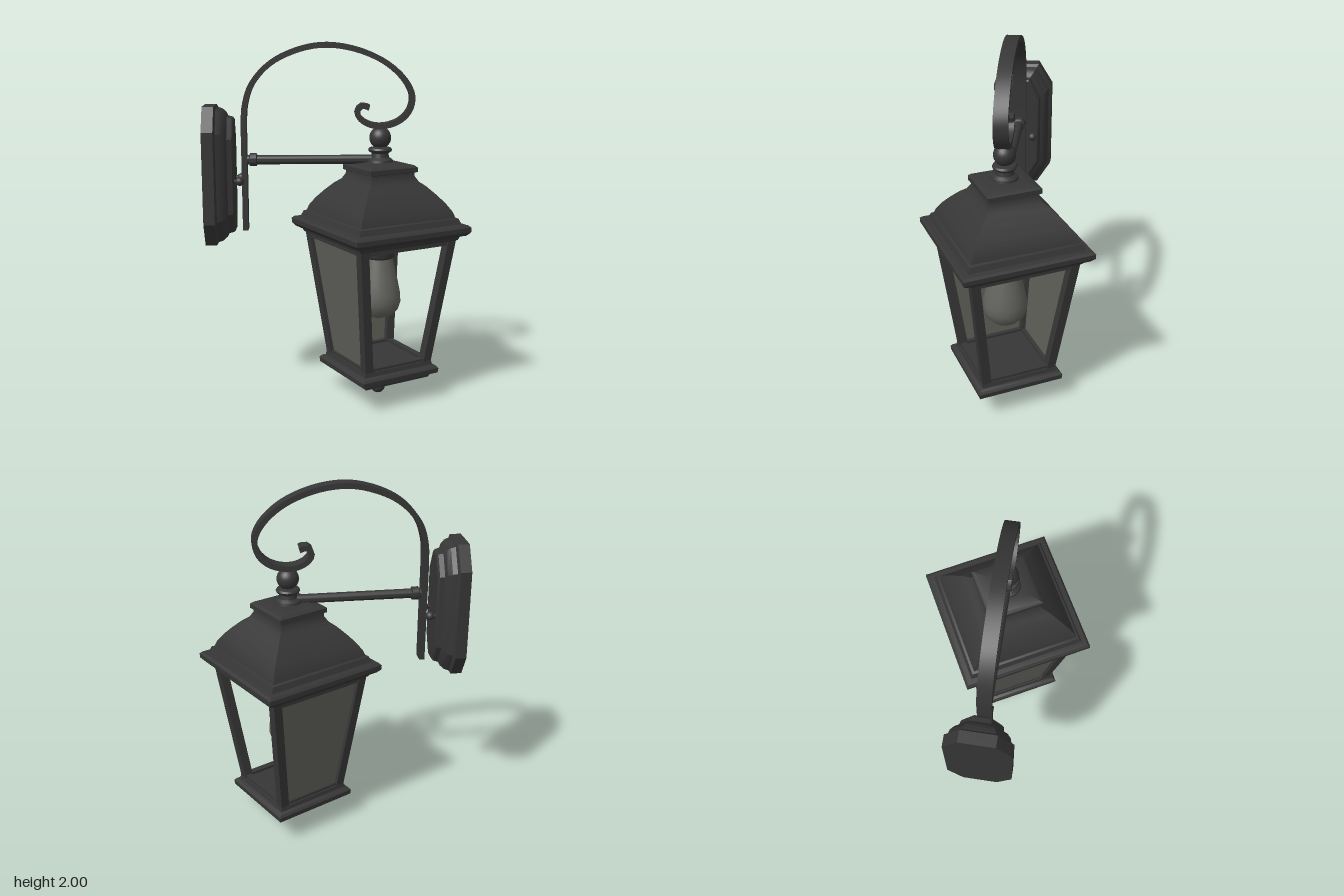
import * as THREE from 'three';
import { toCreasedNormals } from 'three/addons/utils/BufferGeometryUtils.js';

const metal = new THREE.MeshStandardMaterial({ color: 0x363636 });
metal.name = 'dark metal';
const glass = new THREE.MeshStandardMaterial({ color: 0x5e5e58, side: THREE.DoubleSide });
glass.name = 'smoky glass';
const bulbGlass = new THREE.MeshStandardMaterial({ color: 0x63635f });
bulbGlass.name = 'bulb glass';

const V = (x, y, z) => new THREE.Vector3(x, y, z);

function add(parent, name, geometry, material = metal) {
  const mesh = new THREE.Mesh(geometry, material);
  mesh.name = name;
  parent.add(mesh);
  return mesh;
}

// Square stack: profile of [half width, y], bottom to top
function squareStack(profile) {
  const pts = profile.map(([h, y]) => new THREE.Vector2(h * Math.SQRT2, y));
  return toCreasedNormals(new THREE.LatheGeometry(pts, 4, Math.PI / 4), 0.6);
}

// Round turning: profile of [radius, y], bottom to top
function turned(profile) {
  const pts = profile.map(([r, y]) => new THREE.Vector2(r, y));
  return toCreasedNormals(new THREE.LatheGeometry(pts, 28), 0.7);
}

// Square bar between two points
function bar(parent, name, a, b, w) {
  const dir = b.clone().sub(a);
  const mesh = add(parent, name, new THREE.BoxGeometry(w, dir.length(), w));
  mesh.position.copy(a).add(b).multiplyScalar(0.5);
  mesh.quaternion.setFromUnitVectors(V(0, 1, 0), dir.normalize());
}

// Chamfered octagonal wall plate: steps of [x, inset]
function wallPlateGeometry(steps) {
  const pos = [], idx = [];
  for (const [x, i] of steps) {
    const w = 0.172 - i, h = 0.38 - i, cz = 0.08 - i * 0.3, cy = 0.13 - i * 0.3;
    const loop = [[w, h - cy], [w - cz, h], [cz - w, h], [-w, h - cy],
      [-w, cy - h], [cz - w, -h], [w - cz, -h], [w, cy - h]];
    for (const [z, y] of loop) pos.push(x, y, z);
  }
  const last = (steps.length - 1) * 8;
  for (let s = 0; s < last; s += 8) {
    for (let k = 0; k < 8; k++) {
      const n = (k + 1) % 8;
      idx.push(s + k, s + 8 + n, s + n, s + k, s + 8 + k, s + 8 + n);
    }
  }
  for (let k = 1; k < 7; k++) {
    idx.push(0, k, k + 1, last, last + k + 1, last + k);
  }
  // orient every face outward
  for (let t = 0; t < idx.length; t += 3) {
    const [a, b, c] = [0, 1, 2].map((k) => V().fromArray(pos, idx[t + k] * 3));
    const n = b.clone().sub(a).cross(c.clone().sub(a));
    const mid = a.clone().add(b).add(c).divideScalar(3).sub(V(-0.65, 0, 0));
    if (n.dot(mid) < 0) [idx[t + 1], idx[t + 2]] = [idx[t + 2], idx[t + 1]];
  }
  const g = new THREE.BufferGeometry();
  g.setAttribute('position', new THREE.Float32BufferAttribute(pos, 3));
  g.setIndex(idx);
  return toCreasedNormals(g, 0.4);
}

// Flat scrolled strap: a path thickened in its plane, then extruded
function scrollGeometry() {
  const path = new THREE.CatmullRomCurve3([
    [-0.51, 0.975], [-0.51, 1.3], [-0.51, 1.55], [-0.503, 1.66], [-0.465, 1.775], [-0.36, 1.89],
    [-0.2, 1.964], [-0.055, 1.985], [0.115, 1.957], [0.27, 1.885], [0.37, 1.79], [0.405, 1.71],
    [0.39, 1.635], [0.335, 1.578], [0.245, 1.55], [0.165, 1.562], [0.115, 1.6], [0.108, 1.635],
    [0.135, 1.66], [0.172, 1.65],
  ].map(([x, y]) => V(x, y, 0)));
  const outer = [], inner = [], n = 110;
  for (let i = 0; i <= n; i++) {
    const p = path.getPointAt(i / n), t = path.getTangentAt(i / n);
    outer.push(new THREE.Vector2(p.x - t.y * 0.015, p.y + t.x * 0.015));
    inner.unshift(new THREE.Vector2(p.x + t.y * 0.015, p.y - t.x * 0.015));
  }
  const g = new THREE.ExtrudeGeometry(new THREE.Shape([...outer, ...inner]), { depth: 0.075, bevelEnabled: false });
  g.translate(0, 0, -0.04);
  return toCreasedNormals(g, 0.6);
}

export function createModel() {
  const model = new THREE.Group();
  model.name = 'wallLantern';

  // Wall mount
  const plate = add(model, 'wallPlate', wallPlateGeometry([
    [-0.727, 0], [-0.665, 0], [-0.655, 0.016], [-0.63, 0.024], [-0.608, 0.042],
    [-0.598, 0.06], [-0.572, 0.066], [-0.563, 0.076],
  ]));
  plate.position.set(0, 1.283, -0.005);
  for (const z of [-0.077, 0.065]) {
    const stem = add(model, 'mountScrew', new THREE.CylinderGeometry(0.012, 0.012, 0.06, 12));
    stem.rotation.z = Math.PI / 2;
    stem.position.set(-0.56, 1.255, z);
    add(model, 'mountScrewKnob', new THREE.SphereGeometry(0.024, 16, 12)).position.set(-0.535, 1.255, z);
  }

  // Bracket
  add(model, 'scrollArm', scrollGeometry());
  const rod = add(model, 'crossRod', turned([
    [0, -0.5], [0.026, -0.5], [0.026, -0.485], [0.036, -0.48], [0.036, -0.445], [0.026, -0.44],
    [0.025, 0.235], [0, 0.235],
  ]));
  rod.rotation.z = -Math.PI / 2;
  rod.position.set(0, 1.365, -0.004);

  // Lantern, turned on its axis
  const lantern = new THREE.Group();
  lantern.name = 'lantern';
  lantern.position.set(0.234, 0, -0.002);
  lantern.rotation.y = 0.497;
  model.add(lantern);

  add(lantern, 'roof', squareStack([
    [0, 0.93], [0.3, 0.93], [0.312, 0.935], [0.32, 0.955], [0.345, 0.962], [0.363, 0.982],
    [0.364, 1.008], [0.352, 1.02], [0.325, 1.024], [0.313, 1.055], [0.3, 1.06],
    [0.29, 1.09], [0.262, 1.135], [0.226, 1.18], [0.185, 1.225], [0.155, 1.25], [0.138, 1.28],
    [0.137, 1.298], [0.15, 1.303], [0.15, 1.328], [0.135, 1.34], [0.08, 1.352], [0, 1.352],
  ]));
  add(lantern, 'base', squareStack([
    [0, 0.085], [0.105, 0.085], [0.125, 0.1], [0.165, 0.112], [0.208, 0.125], [0.214, 0.148],
    [0.246, 0.155], [0.249, 0.182], [0.238, 0.196], [0.222, 0.202], [0.218, 0.225], [0, 0.225],
  ]));

  // Posts and rails of the cage
  const corner = (k, h, y) => {
    const a = Math.PI / 4 + k * Math.PI / 2;
    return V(h * Math.SQRT2 * Math.sin(a), y, h * Math.SQRT2 * Math.cos(a));
  };
  for (let k = 0; k < 4; k++) {
    bar(lantern, 'cornerPost', corner(k, 0.19, 0.21), corner(k, 0.281, 0.945), 0.05);
    bar(lantern, 'bottomRail', corner(k, 0.192, 0.222), corner(k + 1, 0.192, 0.222), 0.036);
    bar(lantern, 'topRail', corner(k, 0.279, 0.926), corner(k + 1, 0.279, 0.926), 0.036);
  }

  // Two glazed sides; the other two stay open
  const panes = new THREE.CylinderGeometry(0.284 * Math.SQRT2, 0.194 * Math.SQRT2, 0.72, 2, 1, true, Math.PI * 0.75, Math.PI);
  add(lantern, 'glassPanes', toCreasedNormals(panes, 0.5), glass).position.y = 0.575;

  // Socket and bulb
  add(lantern, 'bulbSocket', turned([
    [0, 0.81], [0.08, 0.81], [0.088, 0.82], [0.088, 0.885], [0.072, 0.892], [0.072, 0.94], [0, 0.94],
  ]));
  add(lantern, 'bulb', turned([
    [0, 0.46], [0.04, 0.463], [0.08, 0.478], [0.11, 0.51], [0.124, 0.555], [0.122, 0.6],
    [0.108, 0.67], [0.092, 0.74], [0.075, 0.815], [0, 0.815],
  ]), bulbGlass);

  // Top and bottom finials
  add(lantern, 'topFinialCollar', turned([
    [0, 1.34], [0.075, 1.345], [0.07, 1.365], [0.05, 1.378], [0.046, 1.4], [0.062, 1.41],
    [0.066, 1.42], [0.06, 1.43], [0.035, 1.436], [0, 1.436],
  ]));
  add(lantern, 'topFinialBall', new THREE.SphereGeometry(0.06, 28, 20)).position.y = 1.485;
  add(lantern, 'bottomFinialNeck', turned([[0, 0.07], [0.025, 0.07], [0.045, 0.078], [0.05, 0.09], [0, 0.09]]));
  add(lantern, 'bottomFinialBall', new THREE.SphereGeometry(0.041, 24, 16)).position.y = 0.041;

  return model;
}
